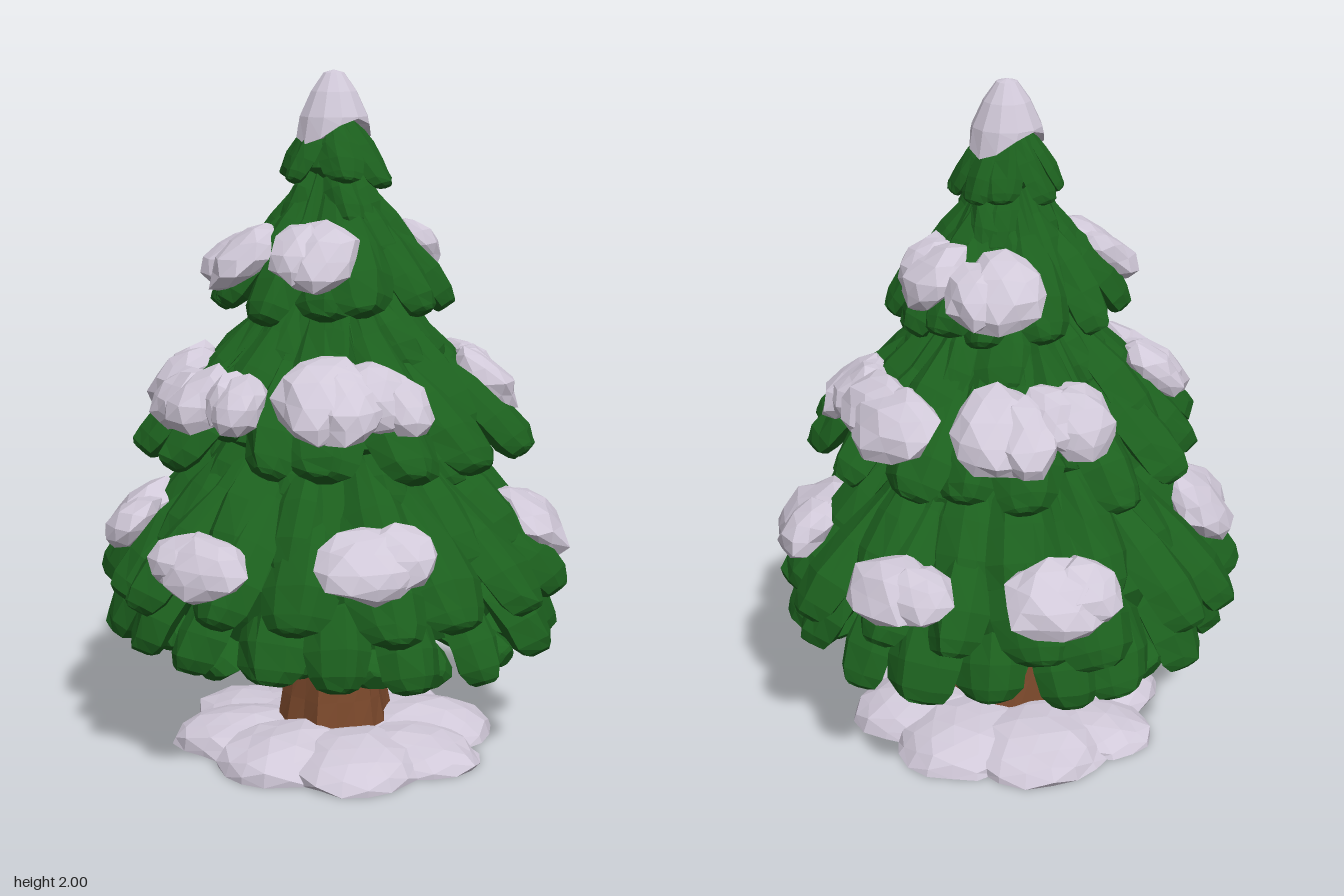
import * as THREE from 'three';
import { mergeGeometries } from 'three/addons/utils/BufferGeometryUtils.js';

let seed = 7;
const rand = () => {
  seed = (seed * 16807) % 2147483647;
  return seed / 2147483647;
};
const vary = (amount) => (rand() * 2 - 1) * amount;

// Flat facets: split the vertices, then take one normal per face
function facet(geometry) {
  const g = geometry.index ? geometry.toNonIndexed() : geometry;
  g.computeVertexNormals();
  return g;
}

// One drooping needle lobe, swept along a path of (radius, height) points
function lobe(path, angle, width, thick) {
  const curve = new THREE.SplineCurve(path);
  const u = new THREE.Vector3(Math.sin(angle), 0, Math.cos(angle));
  const v = new THREE.Vector3(Math.cos(angle), 0, -Math.sin(angle));
  const stations = [[0, 0.35], [0.3, 0.65], [0.55, 0.92], [0.75, 1], [0.88, 0.88], [0.96, 0.64], [1, 0.34]];
  const section = [[1, -0.1], [0.55, 0.65], [0, 1], [-0.55, 0.65], [-1, -0.1], [-0.5, -0.8], [0.5, -0.8]];
  const n = section.length, pos = [], idx = [];
  const bend = vary(0.06), ridge = vary(0.3);
  for (const [t, s] of stations) {
    const p = curve.getPoint(t), d = curve.getTangent(t);
    for (const [a, b] of section) {
      const side = (a + (b > 0.9 ? ridge : 0)) * width * s * (1 + vary(0.07)) + bend * t * t;
      const lift = b * thick * (0.35 + 0.65 * s) * (1 + vary(0.12));
      const q = u.clone().multiplyScalar(p.x - d.y * lift).addScaledVector(v, side);
      pos.push(q.x, p.y + d.x * lift, q.z);
    }
  }
  for (let i = 0; i < stations.length - 1; i++) {
    for (let j = 0; j < n; j++) {
      const a = i * n + j, b = i * n + ((j + 1) % n);
      idx.push(a, b, a + n, b, b + n, a + n);
    }
  }
  const end = (stations.length - 1) * n;
  for (let j = 1; j < n - 1; j++) idx.push(end, end + j, end + j + 1);
  const g = new THREE.BufferGeometry();
  g.setAttribute('position', new THREE.Float32BufferAttribute(pos, 3));
  g.setIndex(idx);
  return facet(g);
}

// A ring of lobes, shorter at two opposite notches
function tier({ path, count, width, thick, turn }) {
  const lobes = [];
  for (let i = 0; i < count; i++) {
    const angle = ((i + turn) / count) * Math.PI * 2 + vary(0.35 / count);
    const notch = 0.14 * Math.cos(angle - 2.15) ** 16;
    const reach = 1 + vary(0.04) - notch, drop = vary(0.025);
    const points = path.map(([r, y], k) => new THREE.Vector2(r * reach, y + (drop * k) / path.length));
    lobes.push(lobe(points, angle, width * (1 + vary(0.15)), thick));
  }
  return mergeGeometries(lobes);
}

// An irregular faceted lump
function lump(sx, sy, sz, rough, detail = 1) {
  const g = new THREE.IcosahedronGeometry(1, detail);
  const p = g.attributes.position, offsets = new Map();
  for (let i = 0; i < p.count; i++) {
    const key = [p.getX(i), p.getY(i), p.getZ(i)].map((c) => Math.round(c * 100)).join();
    if (!offsets.has(key)) offsets.set(key, 1 + vary(rough));
    const k = offsets.get(key);
    p.setXYZ(i, p.getX(i) * sx * k, p.getY(i) * sy * k, p.getZ(i) * sz * k);
  }
  return g;
}

export function createModel() {
  const model = new THREE.Group();
  const green = new THREE.MeshStandardMaterial({ color: 0x1c601e });
  const snow = new THREE.MeshStandardMaterial({ color: 0xd0c8d8 });
  const brown = new THREE.MeshStandardMaterial({ color: 0x7a482b });
  green.name = 'needle green';
  snow.name = 'snow';
  brown.name = 'bark brown';
  const add = (name, geometry, material, parent = model) => {
    const mesh = new THREE.Mesh(geometry, material);
    mesh.name = name;
    parent.add(mesh);
  };

  // Trunk with bark ridges and flared foot
  const trunk = new THREE.CylinderGeometry(0.115, 0.172, 0.46, 18, 4);
  const tp = trunk.attributes.position;
  for (let i = 0; i < tp.count; i++) {
    const x = tp.getX(i), y = tp.getY(i), z = tp.getZ(i);
    const a = Math.atan2(x, z);
    const k = 1 + 0.06 * Math.cos(a * 6 + y) + 0.04 * Math.sin(a * 9 + y * 5) - 0.25 * (0.23 - Math.abs(y));
    tp.setXYZ(i, x * k, y + 0.27, z * k);
  }
  add('trunk', facet(trunk), brown);

  // Inner body that closes the gaps between the lobes
  const body = [
    [0, 0.46], [0.3, 0.44], [0.48, 0.43], [0.5, 0.5], [0.52, 0.6], [0.43, 0.75], [0.3, 0.93], [0.39, 0.98],
    [0.28, 1.17], [0.17, 1.36], [0.23, 1.4], [0.15, 1.55], [0.08, 1.7], [0.1, 1.73], [0.05, 1.85], [0, 1.9],
  ].map(([r, y]) => new THREE.Vector2(r, y));
  add('foliageBody', facet(new THREE.LatheGeometry(body, 20)), green);

  // Foliage tiers, lowest first; the first one lines the underside
  const foliage = new THREE.Group();
  foliage.name = 'foliage';
  model.add(foliage);
  [
    { path: [[0.07, 0.46], [0.25, 0.45], [0.43, 0.42], [0.57, 0.36]], count: 15, width: 0.1, thick: 0.05, turn: 0.5 },
    { path: [[0.22, 0.78], [0.41, 0.62], [0.55, 0.48], [0.62, 0.335]], count: 17, width: 0.105, thick: 0.06, turn: 0 },
    { path: [[0.2, 1.02], [0.4, 0.79], [0.56, 0.65], [0.67, 0.5]], count: 17, width: 0.105, thick: 0.06, turn: 0.5 },
    { path: [[0.18, 1.08], [0.33, 0.89], [0.46, 0.76], [0.54, 0.62]], count: 13, width: 0.1, thick: 0.055, turn: 0 },
    { path: [[0.13, 1.18], [0.23, 1.03], [0.32, 0.92], [0.38, 0.81]], count: 9, width: 0.09, thick: 0.05, turn: 0.4 },
    { path: [[0.13, 1.36], [0.29, 1.16], [0.43, 1.05], [0.545, 0.915]], count: 15, width: 0.1, thick: 0.055, turn: 0 },
    { path: [[0.12, 1.4], [0.24, 1.25], [0.36, 1.13], [0.44, 1.0]], count: 10, width: 0.095, thick: 0.05, turn: 0.5 },
    { path: [[0.08, 1.46], [0.17, 1.33], [0.24, 1.25], [0.3, 1.16]], count: 8, width: 0.08, thick: 0.045, turn: 0 },
    { path: [[0.06, 1.7], [0.14, 1.56], [0.24, 1.46], [0.33, 1.33]], count: 12, width: 0.085, thick: 0.05, turn: 0.3 },
    { path: [[0.05, 1.74], [0.11, 1.62], [0.18, 1.53], [0.24, 1.42]], count: 8, width: 0.07, thick: 0.04, turn: 0 },
    { path: [[0.03, 1.78], [0.07, 1.7], [0.11, 1.63], [0.14, 1.55]], count: 6, width: 0.06, thick: 0.035, turn: 0.4 },
    { path: [[0.02, 1.9], [0.06, 1.83], [0.1, 1.76], [0.145, 1.68]], count: 8, width: 0.056, thick: 0.028, turn: 0 },
  ].forEach((spec, i) => add('foliageTier' + (i + 1), tier(spec), green, foliage));

  // Snow clumps lying on the tiers: x, y, z, half width around, half length down the slope
  const clumps = new THREE.Group();
  clumps.name = 'snowClumps';
  model.add(clumps);
  [
    [-0.585, 0.67, 0.08, 0.17, 0.105], [0.57, 0.67, -0.11, 0.17, 0.11], [0.33, 0.69, -0.5, 0.17, 0.12],
    [0.43, 0.68, 0.4, 0.18, 0.13], [-0.3, 0.7, 0.49, 0.17, 0.12], [-0.41, 0.69, -0.41, 0.19, 0.13],
    [-0.43, 1.1, -0.1, 0.16, 0.12], [-0.45, 1.09, 0.07, 0.09, 0.1], [-0.33, 1.11, -0.3, 0.11, 0.12],
    [-0.31, 1.12, 0.3, 0.15, 0.15], [-0.16, 1.12, 0.38, 0.12, 0.12], [0.44, 1.1, 0.06, 0.19, 0.12],
    [0.33, 1.11, 0.28, 0.11, 0.12], [0.31, 1.12, -0.27, 0.15, 0.15], [0.16, 1.13, -0.38, 0.13, 0.12],
    [-0.24, 1.48, -0.12, 0.13, 0.13], [-0.21, 1.48, 0.14, 0.13, 0.13],
    [0.21, 1.48, -0.15, 0.14, 0.13], [0.25, 1.48, 0.06, 0.12, 0.12],
  ].forEach(([x, y, z, w, l]) => {
    const out = new THREE.Vector3(x, 0, z).normalize();
    const around = new THREE.Vector3(out.z, 0, -out.x);
    const up = out.clone().multiplyScalar(0.64).setY(0.77);
    const basis = new THREE.Matrix4().makeBasis(around, up, around.clone().cross(up));
    const shift = rand() < 0.5 ? -0.35 : 0.35;
    const g = mergeGeometries([
      lump(w * 0.85, 0.064, l, 0.13).translate(-shift * w * 0.4, 0, vary(0.02)),
      lump(w * 0.65, 0.06, l * 0.85, 0.13).translate(shift * w, 0.004, vary(0.03)),
    ]).applyMatrix4(basis).translate(x, y, z);
    add('snowClump', facet(g), snow, clumps);
  });

  // Pointed snow cap, its hem hanging lower at the two sides
  const cap = new THREE.LatheGeometry(
    [[0, 1.87], [0.06, 1.83], [0.1, 1.83], [0.1, 1.87], [0.067, 1.94], [0.03, 1.992], [0, 2]]
      .map(([r, y]) => new THREE.Vector2(r, y)), 12);
  const cp = cap.attributes.position;
  for (let i = 0; i < cp.count; i++) {
    const a = Math.atan2(cp.getX(i), cp.getZ(i));
    if (cp.getY(i) < 1.86) {
      cp.setY(i, cp.getY(i) + 0.036 * Math.cos(a * 2));
      cp.setX(i, cp.getX(i) * 1.15);
    }
  }
  add('snowCap', facet(cap), snow);

  // Snow drifts around the foot, cut flat at the ground
  const drifts = new THREE.Group();
  drifts.name = 'groundSnow';
  model.add(drifts);
  const drift = (x, z, w, h, d, turn) => {
    const g = lump(w, h, d, 0.06, 2).rotateY(turn).translate(x, 0, z);
    const p = g.attributes.position;
    for (let i = 0; i < p.count; i++) p.setY(i, Math.max(0, p.getY(i)));
    add('snowDrift', facet(g), snow, drifts);
  };
  drift(0, 0, 0.38, 0.085, 0.38, 0);
  for (let i = 0; i < 8; i++) {
    const a = (i / 8) * Math.PI * 2 + 0.2;
    const height = 0.075 + 0.03 * Math.abs(Math.sin(a)) + vary(0.01);
    drift(Math.sin(a) * 0.24, Math.cos(a) * 0.265, 0.2 + vary(0.03), height, 0.235, a);
  }
  return model;
}
